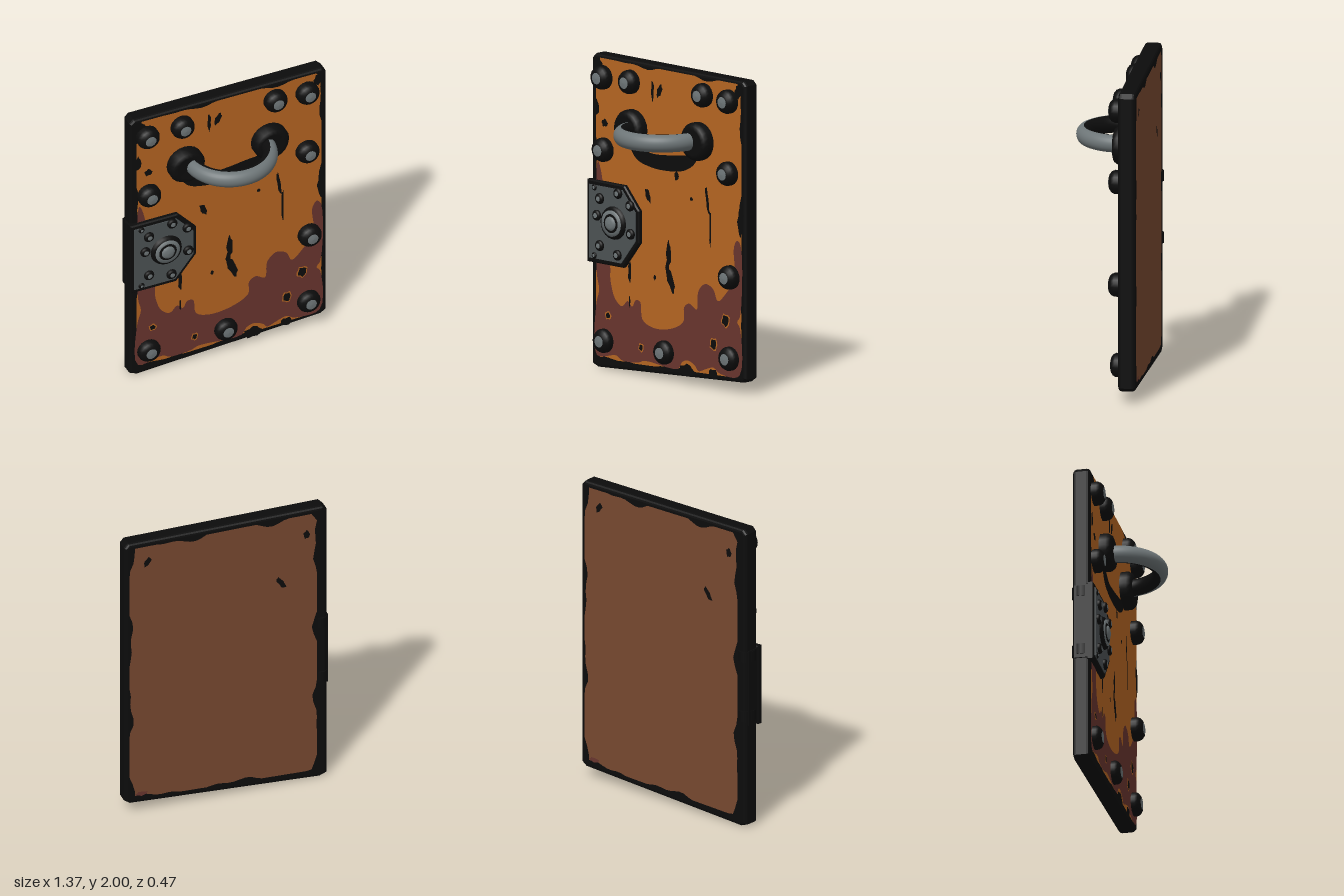
import * as THREE from 'three';

const mat = (name, color, side = THREE.FrontSide) => {
  const m = new THREE.MeshStandardMaterial({ color, side });
  m.name = name;
  return m;
};

export function createModel() {
  const group = new THREE.Group();
  const black = mat('blackIron', 0x0c0c0c);
  const orange = mat('orangePaint', 0xb56522);
  const rust = mat('rust', 0x69352e);
  const brown = mat('backBrown', 0x774830);
  const steel = mat('steel', 0x6e7678);
  const darkSteel = mat('darkSteel', 0x4c5254);
  const FRONT = -0.115, BACK = -0.225;

  const add = (name, geo, material, x = 0, y = 0, z = 0, parent = group) => {
    const m = new THREE.Mesh(geo, material);
    m.name = name;
    m.position.set(x, y, z);
    parent.add(m);
    return m;
  };
  const shapeOf = pts => new THREE.Shape(pts.map(p => new THREE.Vector2(p[0], p[1])));
  const smoothShape = (pts, n = 60) => new THREE.Shape(
    new THREE.CatmullRomCurve3(pts.map(p => new THREE.Vector3(p[0], p[1], 0)), true).getPoints(n));

  // Slab with a slanted bottom edge and softened rim
  const b = 0.022;
  const slabShape = shapeOf([[-0.67 + b, 0.012 + b], [-0.64 + b, b], [0.66 - b, 0.075 + b], [0.68 - b, 0.09 + b],
    [0.68 - b, 1.985 - b], [0.665 - b, 2 - b], [-0.655 + b, 2 - b], [-0.67 + b, 1.985 - b]]);
  const slabGeo = new THREE.ExtrudeGeometry(slabShape, {
    depth: FRONT - BACK - 2 * b, bevelSize: b, bevelThickness: b, bevelSegments: 3 });
  add('slab', slabGeo, black, 0, 0, BACK + b);

  // Worn outline: walks round a quad and nudges each point inward
  const wornOutline = (corners, inset, amp) => {
    const pts = [];
    const n = 34;
    corners.forEach((c, i) => {
      const d = corners[(i + 1) % 4];
      const len = Math.hypot(d[0] - c[0], d[1] - c[1]);
      const nx = -(d[1] - c[1]) / len, ny = (d[0] - c[0]) / len;
      for (let k = 1; k < n; k++) {
        const t = k / n, s = t * len * 11 + i * 2.3;
        const wave = Math.max(0, Math.sin(s) + 0.6 * Math.sin(s * 2.3 + i)) * amp;
        const x = c[0] + (d[0] - c[0]) * t + nx * wave;
        const y = c[1] + (d[1] - c[1]) * t + ny * wave;
        pts.push([x, y]);
      }
    });
    return shapeOf(pts);
  };
  add('frontPaint', new THREE.ShapeGeometry(
    wornOutline([[-0.63, 0.055], [0.645, 0.105], [0.645, 1.98], [-0.63, 1.98]], 0, 0.014)), orange, 0, 0, FRONT + 0.002);
  const backGeo = new THREE.ShapeGeometry(
    wornOutline([[-0.65, 0.11], [0.6, 0.06], [0.6, 1.965], [-0.65, 1.965]], 0, 0.022));
  add('backPaint', backGeo, brown, 0, 0, BACK - 0.002).rotation.y = Math.PI;

  // Rust creeping up from the bottom
  const rustPts = [[-0.62, 0.08], [-0.45, 0.1], [-0.4, 0.075], [-0.26, 0.08], [-0.2, 0.1], [0.09, 0.09], [0.13, 0.14],
    [0.18, 0.155], [0.24, 0.13], [0.27, 0.1], [0.33, 0.12], [0.4, 0.14], [0.46, 0.11], [0.63, 0.12], [0.635, 0.42],
    [0.61, 0.46], [0.635, 0.5], [0.64, 0.95], [0.61, 0.98], [0.58, 0.93], [0.59, 0.72], [0.53, 0.65], [0.44, 0.57],
    [0.4, 0.64], [0.33, 0.665], [0.27, 0.61], [0.255, 0.49], [0.19, 0.52], [0.145, 0.49], [0.14, 0.4], [0.04, 0.34],
    [-0.12, 0.32], [-0.22, 0.36], [-0.24, 0.47], [-0.28, 0.475], [-0.31, 0.43], [-0.35, 0.46], [-0.4, 0.42],
    [-0.46, 0.46], [-0.5, 0.57], [-0.51, 0.68], [-0.57, 0.7], [-0.57, 1.2], [-0.61, 1.32], [-0.625, 1.2], [-0.62, 0.6],
    [-0.6, 0.5], [-0.625, 0.4]];
  add('rustPatch', new THREE.ShapeGeometry(smoothShape(rustPts, 240)), rust, 0, 0, FRONT + 0.004);

  // Chips and scratches: x, y, half width, half height, tilt
  const blot = (name, [x, y, w, h, tilt = 0], material, z) => {
    const pts = [];
    for (let i = 0; i < 12; i++) {
      const a = i / 12 * Math.PI * 2, r = 1 + 0.18 * Math.sin(i * 2.4 + x * 9);
      pts.push([Math.cos(a) * w * r, Math.sin(a) * h * r]);
    }
    const m = add(name, new THREE.ShapeGeometry(shapeOf(pts)), material, x, y, z);
    m.rotation.z = tilt;
    return m;
  };
  [[-0.13, 1.83, 0.012, 0.065], [-0.07, 1.84, 0.02, 0.045, -0.4], [-0.55, 1.57, 0.025, 0.025], [-0.17, 1.16, 0.02, 0.045, 0.4],
    [0.35, 1.2, 0.012, 0.09, 0.15], [0.375, 1.02, 0.008, 0.12], [0.01, 0.81, 0.02, 0.085], [0.025, 0.65, 0.025, 0.09, 0.35],
    [0, 0.72, 0.016, 0.05], [-0.33, 0.65, 0.014, 0.07], [-0.33, 0.46, 0.006, 0.04], [0.08, 1.32, 0.018, 0.03],
    [0.21, 1.19, 0.012, 0.012], [-0.11, 0.645, 0.012, 0.016], [0.64, 1.1, 0.025, 0.09], [-0.62, 1.66, 0.02, 0.05],
    [0.62, 1.93, 0.03, 0.04], [-0.6, 1.94, 0.03, 0.03], [0.17, 0.09, 0.06, 0.04], [0.4, 0.1, 0.04, 0.03]
  ].forEach(s => blot('paintChip', s, black, FRONT + 0.006));
  [[0.51, 0.455, 0.03, 0.035], [0.405, 0.29, 0.026, 0.033], [-0.52, 0.345, 0.018, 0.018], [-0.23, 0.18, 0.016, 0.02]]
    .forEach(([x, y, w, h]) => {
      blot('chipRim', [x, y, w + 0.009, h + 0.009], orange, FRONT + 0.0055);
      blot('rustHole', [x, y, w, h], black, FRONT + 0.007);
    });
  [[-0.36, 1.5, 0.018, 0.05, -0.6], [-0.53, 1.82, 0.02, 0.03], [0.53, 1.85, 0.02, 0.035, 0.5]]
    .forEach(s => { blot('backChip', s, black, BACK - 0.004).rotation.set(0, Math.PI, -(s[4] || 0)); });
  blot('backRust', [0.57, 0.14, 0.04, 0.015], rust, BACK - 0.004).rotation.y = Math.PI;

  // Dark crescent below the handle
  const crescent = [[-0.32, 1.45], [-0.27, 1.38], [-0.15, 1.345], [0, 1.34], [0.14, 1.36], [0.23, 1.41], [0.26, 1.46],
    [0.15, 1.46], [0, 1.44], [-0.15, 1.435], [-0.24, 1.47]];
  add('handleMark', new THREE.ShapeGeometry(smoothShape(crescent)), black, 0, 0, FRONT + 0.007);

  // Turned parts point towards the front
  const turned = (name, profile, material, x, y, z, parent = group) => {
    const geo = new THREE.LatheGeometry(profile.map(p => new THREE.Vector2(p[0], p[1])), 20);
    geo.rotateX(Math.PI / 2);
    return add(name, geo, material, x, y, z, parent);
  };
  const rivet = (name, x, y, z, r, h, capMat = steel) => {
    const g = new THREE.Group();
    g.name = name;
    g.position.set(x, y, z);
    group.add(g);
    turned('rivetBody', [[r, 0], [r, h * 0.45], [r * 0.88, h * 0.72], [r * 0.66, h * 0.9], [r * 0.48, h * 0.96]], black, 0, 0, 0, g);
    turned('rivetCap', [[r * 0.48, h * 0.96], [r * 0.3, h], [0, h * 1.03]], capMat, 0, 0, 0, g);
  };
  [[-0.56, 1.86], [-0.32, 1.865], [0.32, 1.87], [0.54, 1.86], [-0.55, 1.4], [0.54, 1.4], [0.555, 0.74],
    [-0.55, 0.18], [-0.02, 0.18], [0.55, 0.22]]
    .forEach(([x, y]) => rivet('rivet', x, y, FRONT, 0.076, y < 0.5 ? 0.062 : 0.075));

  // Curved handle: steel outside, black inside
  const halfTube = (name, material, from) => {
    const geo = new THREE.TorusGeometry(0.258, 0.05, 14, 36, Math.PI);
    const p = geo.attributes.position, nrm = geo.attributes.normal, uv = geo.attributes.uv;
    for (let i = 0; i < p.count; i++) {
      const u = uv.getX(i) * Math.PI, v = from + uv.getY(i) * Math.PI;
      const rr = 0.258 + 0.048 * Math.cos(v);
      p.setXYZ(i, rr * Math.cos(u), rr * Math.sin(u), 0.056 * Math.sin(v));
      nrm.setXYZ(i, Math.cos(v) * Math.cos(u), Math.cos(v) * Math.sin(u), Math.sin(v));
    }
    geo.rotateX(Math.PI / 2);
    add(name, geo, material, -0.01, 1.57, -0.073);
  };
  halfTube('handleOuter', steel, -Math.PI / 2);
  halfTube('handleInner', black, Math.PI / 2);
  [-0.3, 0.28].forEach(x => {
    turned('handleMount', [[0.122, 0], [0.122, 0.045], [0.105, 0.07], [0.08, 0.078], [0, 0.07]], black, x, 1.57, FRONT);
    const stub = new THREE.CylinderGeometry(0.05, 0.05, 0.04, 16).rotateX(Math.PI / 2);
    add('handleFoot', stub, black, x < 0 ? -0.268 : 0.248, 1.57, -0.06);
  });

  // Lock plate with dark rim, steel face, boss and small rivets
  const plate = [[-0.675, 0.68], [-0.37, 0.68], [-0.235, 0.85], [-0.235, 1.05], [-0.36, 1.19], [-0.675, 1.19]];
  add('lockRim', new THREE.ExtrudeGeometry(shapeOf(plate), { depth: 0.03, bevelSize: 0.008, bevelThickness: 0.008, bevelSegments: 1 }),
    black, 0, 0, FRONT - 0.008);
  const face = plate.map(([x, y]) => [-0.46 + (x + 0.46) * 0.92, 0.935 + (y - 0.935) * 0.92]);
  add('lockFace', new THREE.ExtrudeGeometry(shapeOf(face), { depth: 0.006, bevelEnabled: false }), darkSteel, 0, 0, FRONT + 0.029);
  turned('lockRing', [[0.108, 0], [0.1, 0.02], [0.08, 0.028], [0, 0.024]], black, -0.44, 0.95, -0.083);
  turned('lockDisc', [[0.088, 0], [0.084, 0.03], [0.055, 0.032]], steel, -0.44, 0.95, -0.083);
  turned('lockGroove', [[0.062, 0.03], [0.058, 0.035], [0, 0.035]], black, -0.44, 0.95, -0.083);
  turned('lockKnob', [[0.047, 0.03], [0.042, 0.042], [0.025, 0.048], [0, 0.05]], steel, -0.44, 0.95, -0.083);
  [[-0.56, 1.09], [-0.4, 1.145], [-0.295, 1.08], [-0.29, 0.9], [-0.405, 0.75], [-0.56, 0.79], [-0.585, 0.98]]
    .forEach(([x, y]) => rivet('lockRivet', x, y, -0.082, 0.034, 0.024));
  [[-0.61, 1.155], [-0.61, 0.72]].forEach(([x, y]) => rivet('lockPin', x, y, -0.082, 0.02, 0.012));

  // Lock side strap and two clips wrapping the slab edge
  add('lockStrap', new THREE.BoxGeometry(0.014, 0.5, 0.1), black, -0.673, 0.935, -0.16);
  [1.145, 0.745].forEach(y => {
    const clip = new THREE.CylinderGeometry(0.06, 0.06, 0.07, 16);
    clip.scale(0.85, 1, 1.12);
    add('edgeClip', clip, black, -0.634, y, -0.169);
  });
  return group;
}
